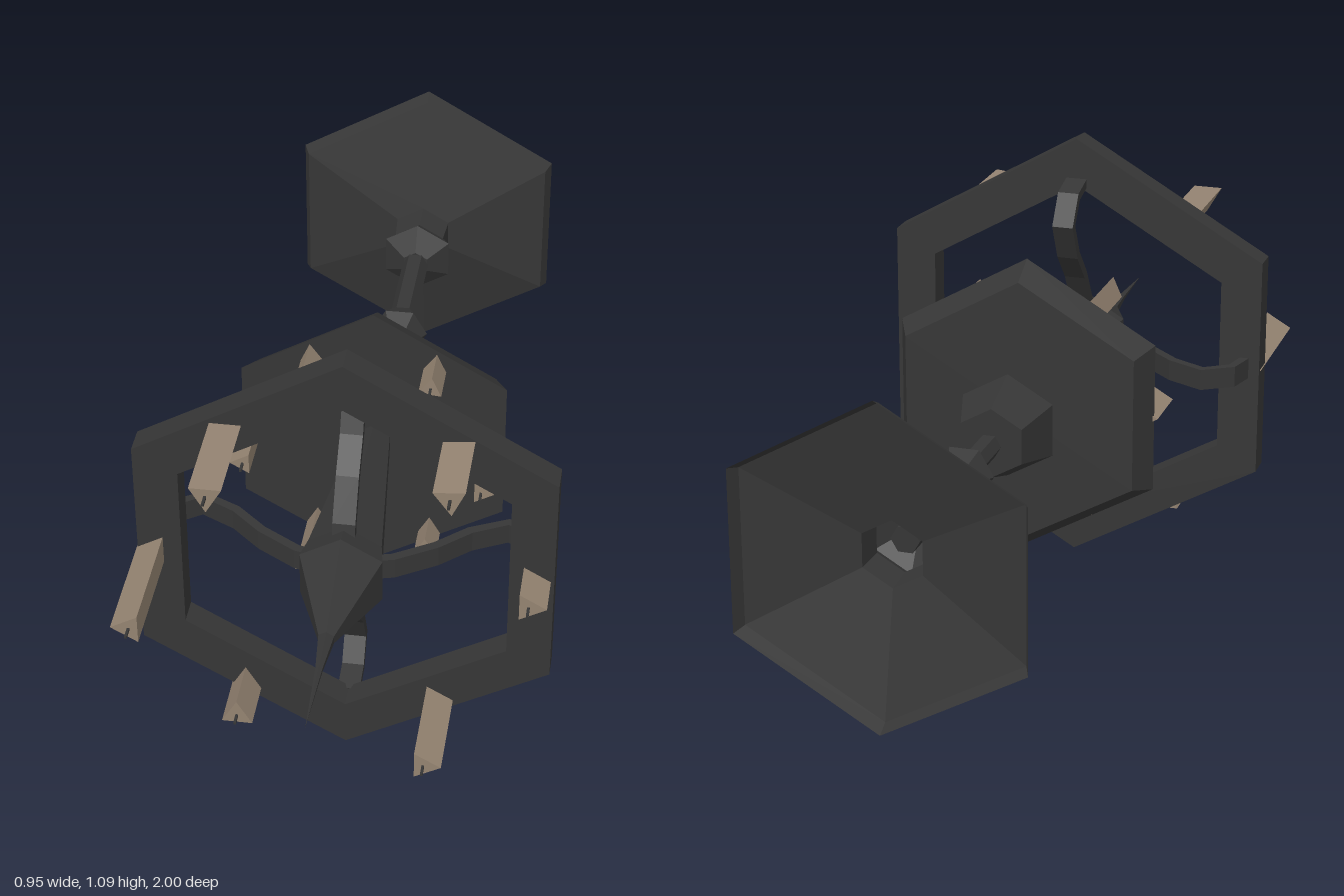
import * as THREE from 'three';

const CY = 0.547; // height of the long axis

export function createModel() {
  const iron = new THREE.MeshStandardMaterial({ color: 0x363636, flatShading: true, side: THREE.DoubleSide });
  iron.name = 'dark iron';
  const wax = new THREE.MeshStandardMaterial({ color: 0x948371, flatShading: true });
  wax.name = 'tan wax';

  const model = new THREE.Group();
  model.name = 'chandelier';
  const axis = new THREE.Group();
  axis.name = 'fixture';
  axis.position.y = CY;
  model.add(axis);

  const add = (name, geometry, material, parent = axis) => {
    const mesh = new THREE.Mesh(geometry, material);
    mesh.name = name;
    parent.add(mesh);
    return mesh;
  };

  // Six-sided turned part along z; profile is [radius, z] from back to front
  const hex = (name, profile, phase = 0) => {
    const g = new THREE.LatheGeometry(profile.map(([r, z]) => new THREE.Vector2(r, z)), 6, phase);
    g.rotateX(Math.PI / 2);
    return add(name, g, iron);
  };

  // Hollow ceiling canopy with its collar
  hex('canopy', [[0.378, -1], [0.362, -0.968], [0.078, -0.907], [0.072, -0.835],
    [0.095, -0.795], [0.035, -0.758], [0, -0.758]]);

  // Hanging rod with a pointed knot
  hex('rod', [[0, -0.83], [0.033, -0.83], [0.033, -0.515], [0.07, -0.45],
    [0.029, -0.388], [0.029, -0.277], [0, -0.277]], Math.PI / 6);

  // Bell cup, upper plate and central spindle
  hex('cup', [[0, -0.263], [0.085, -0.263], [0.127, -0.142], [0, -0.142]]);
  hex('plate', [[0, -0.063], [0.325, -0.063], [0.363, 0.005], [0, 0.005]]);
  hex('spindle', [[0, 0], [0.045, 0], [0.096, 0.45], [0.108, 0.51],
    [0.02, 0.72], [0.009, 0.82], [0, 1]]);

  // Large open ring
  hex('ring', [[0.43, 0.4], [0.547, 0.4], [0.547, 0.465], [0.43, 0.465], [0.43, 0.4]]);

  // Four bent straps joining spindle and ring; path is [radius, z]
  const path = [[0.05, 0.47], [0.11, 0.455], [0.2, 0.4], [0.27, 0.337],
    [0.355, 0.295], [0.42, 0.338], [0.438, 0.41]].map(([r, z]) => new THREE.Vector2(r, z));
  const offset = (side) => path.map((p, i) => {
    const a = path[Math.max(i - 1, 0)], b = path[Math.min(i + 1, path.length - 1)];
    const t = b.clone().sub(a).normalize();
    return new THREE.Vector2(p.x - t.y * side, p.y + t.x * side);
  });
  const strap = new THREE.ExtrudeGeometry(
    new THREE.Shape([...offset(-0.011), ...offset(0.011).reverse()]),
    { depth: 0.052, bevelEnabled: false });
  strap.translate(0, 0, -0.026);
  strap.rotateX(Math.PI / 2);
  for (let i = 0; i < 4; i++) add('arm', strap, iron).rotation.z = i * Math.PI / 2;

  // Three-sided candle with a wick; angle is where one corner points
  const candle = (x, y, back, front, radius, angle) => {
    const group = new THREE.Group();
    group.name = 'candle';
    group.position.set(x, y - CY, 0);
    group.rotation.z = angle;
    const body = new THREE.CylinderGeometry(radius, radius, front - back, 3);
    body.rotateX(Math.PI / 2);
    body.rotateZ(Math.PI / 2); // corner onto +x
    body.translate(0, 0, (front + back) / 2);
    add('candleBody', body, wax, group);
    const wick = new THREE.BoxGeometry(0.006, 0.006, 0.03);
    wick.translate(0, 0, front + 0.013);
    add('wick', wick, iron, group);
    axis.add(group);
  };

  const up = Math.PI / 2;
  // Ring candles: x, y, front end, corner direction
  [[-0.26, 0.892, 0.695, -up], [0.255, 0.9, 0.643, -up + 0.1],
    [-0.435, 0.54, 0.742, Math.PI], [0.425, 0.55, 0.56, 0],
    [-0.235, 0.162, 0.585, up], [0.212, 0.163, 0.69, 0]]
    .forEach(([x, y, front, a]) => candle(x, y, 0.41, front, 0.041, a));

  // Plate candles
  [[-0.147, 0.783, 0.215, up + 0.1], [0.146, 0.783, 0.1, up - 0.1],
    [-0.137, 0.296, 0.188, up], [0.137, 0.296, 0.09, up],
    [-0.293, 0.547, 0.138, Math.PI], [0.276, 0.547, 0.17, 0]]
    .forEach(([x, y, front, a]) => candle(x, y, 0, front, 0.031, a));

  return model;
}
